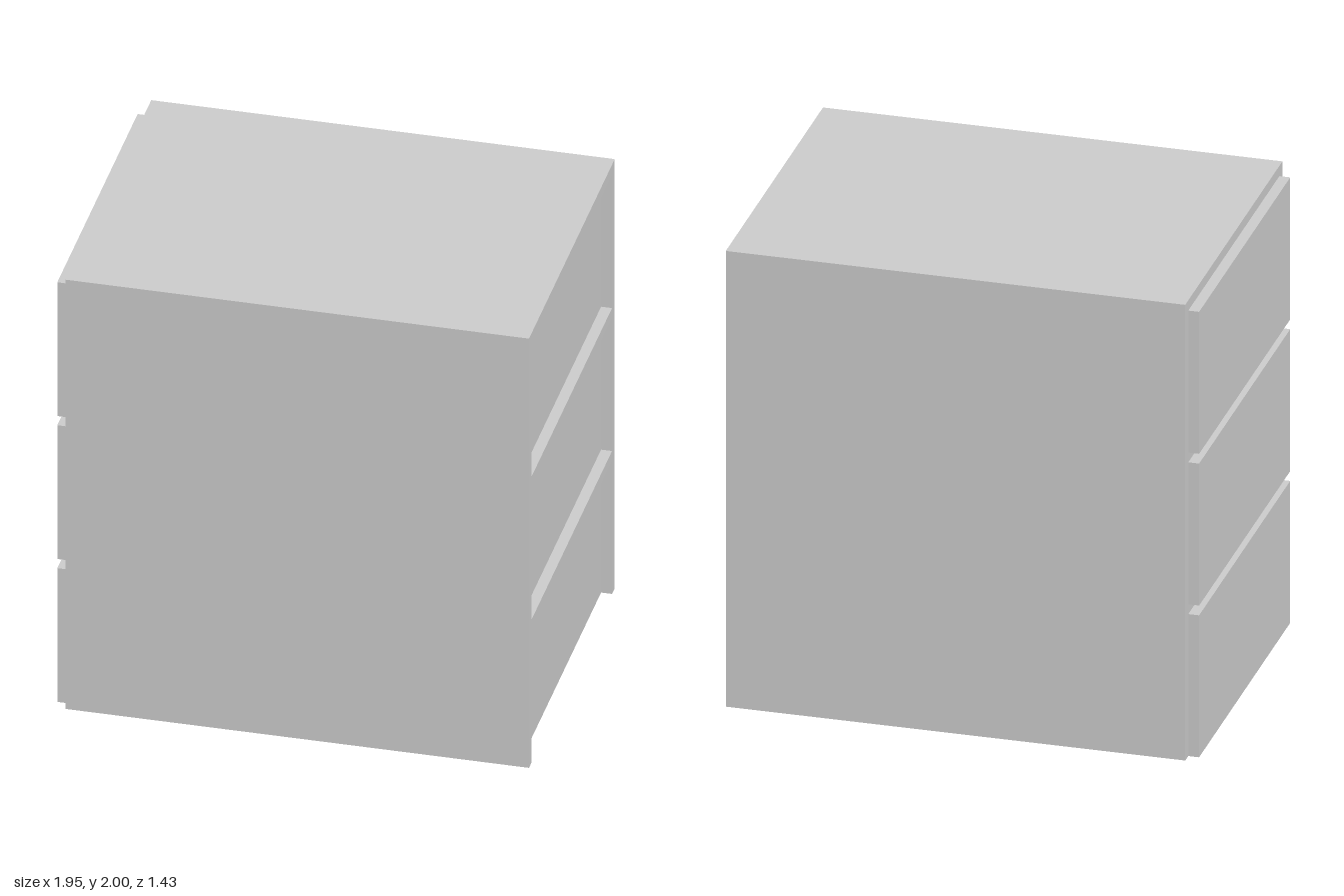
import * as THREE from 'three';

export function createModel() {
  const model = new THREE.Group();
  model.name = 'building';
  const grey = new THREE.MeshStandardMaterial({ color: 0xcccccc });
  grey.name = 'light grey';

  // Box given by its lower and upper corners
  function block(parent, name, [x0, y0, z0], [x1, y1, z1]) {
    const mesh = new THREE.Mesh(new THREE.BoxGeometry(x1 - x0, y1 - y0, z1 - z0), grey);
    mesh.position.set((x0 + x1) / 2, (y0 + y1) / 2, (z0 + z1) / 2);
    mesh.name = name;
    parent.add(mesh);
    return mesh;
  }

  const left = 0.975, right = -0.93, depth = 0.715, inner = 0.67, t = 0.045;
  const floorBottoms = [0.623, 1.289, 1.955];

  // Front and back walls
  block(model, 'frontWall', [right, 0, inner], [left, 2, depth]);
  block(model, 'backWall', [right, 0, -depth], [left, 2, -inner]);

  // Floor slabs, roof and the end panels of each storey
  let base = 0;
  floorBottoms.forEach((y, i) => {
    const top = Math.min(y + 0.043, 2);
    block(model, i === 2 ? 'roof' : 'floorSlab', [right, y, -inner], [left, i === 2 ? 2 : top, inner]);
    block(model, 'recessedPanel', [left - 2 * t, base, -inner], [left - t, y, inner]);
    block(model, 'projectingPanel', [right - t, base, -inner], [right, y, inner]);
    base = top;
  });

  // Open staircase on the ground storey
  const stairs = new THREE.Group();
  stairs.name = 'staircase';
  model.add(stairs);
  const x0 = -0.57, x1 = 0.5, rise = 0.623, z0 = 0.15, z1 = 0.47, w = 0.03;
  const outline = new THREE.Shape([
    new THREE.Vector2(x0, 0), new THREE.Vector2(x0 + 0.08, 0),
    new THREE.Vector2(x1 + 0.08, rise), new THREE.Vector2(x1, rise),
    new THREE.Vector2(x0, 0.045),
  ]);
  for (const z of [z0, z1 - w]) {
    const stringer = new THREE.Mesh(
      new THREE.ExtrudeGeometry(outline, { depth: w, bevelEnabled: false }), grey);
    stringer.position.z = z;
    stringer.name = 'stringer';
    stairs.add(stringer);
  }
  const steps = 13;
  for (let i = 0; i < steps; i++) {
    const f = (i + 0.35) / steps;
    const x = x0 + f * (x1 - x0), y = f * rise;
    block(stairs, 'tread', [x, y, z0 + w], [x + 0.075, y + 0.022, z1 - w]);
  }

  return model;
}
